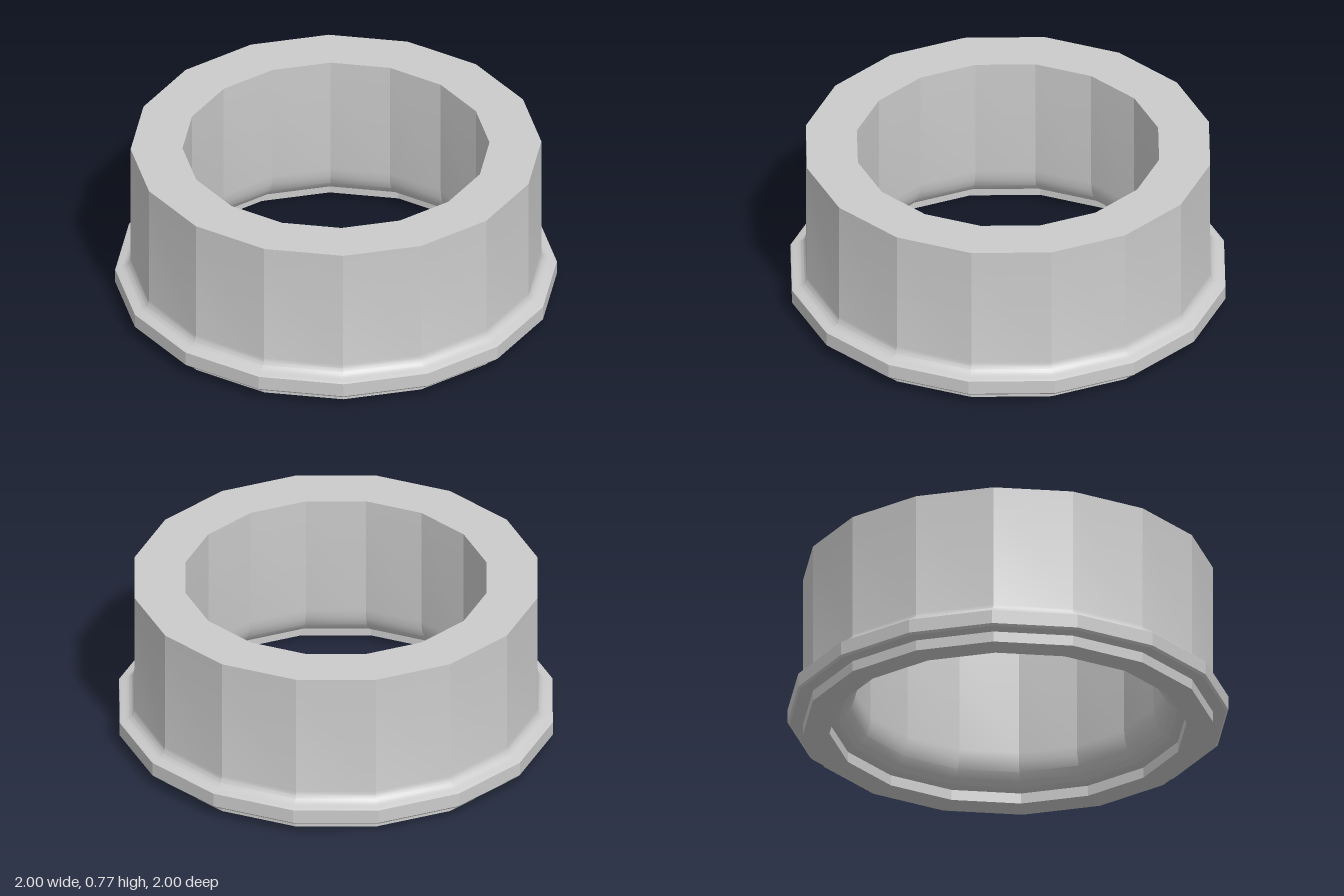
import * as THREE from 'three';
import { toCreasedNormals } from 'three/addons/utils/BufferGeometryUtils.js';

const SIDES = 16;
const STEPS = 5;

// Quarter-ellipse points around (cx, cy), from angle a0 to a1 in degrees
function arc(cx, cy, rx, ry, a0, a1) {
  return Array.from({ length: STEPS + 1 }, (_, i) => {
    const a = THREE.MathUtils.degToRad(a0 + ((a1 - a0) * i) / STEPS);
    return new THREE.Vector2(cx + rx * Math.cos(a), cy + ry * Math.sin(a));
  });
}

export function createModel() {
  const group = new THREE.Group();
  group.name = 'flangedBushing';
  const p = (r, y) => new THREE.Vector2(r, y);

  // Closed wall section: up the outside, across the top, down the bore
  const profile = [
    p(0.81, 0), p(0.93, 0), p(0.93, 0.05),            // foot
    p(0.99, 0.05), p(1, 0.06), p(1, 0.125),           // flange rim
    ...arc(0.99, 0.185, 0.06, 0.055, 270, 180),       // fillet into the body
    p(0.93, 0.77), p(0.695, 0.77),                    // body and top face
    ...arc(0.805, 0.2, 0.11, 0.15, 180, 270),         // rounded bore entry
    p(0.81, 0.05), p(0.81, 0),                        // counterbore
  ];

  const lathe = new THREE.LatheGeometry(profile, SIDES);
  const ring = new THREE.Mesh(
    toCreasedNormals(lathe, THREE.MathUtils.degToRad(21)),
    new THREE.MeshStandardMaterial({ color: 0xcccccc })
  );
  ring.name = 'flangedRing';
  group.add(ring);
  return group;
}
